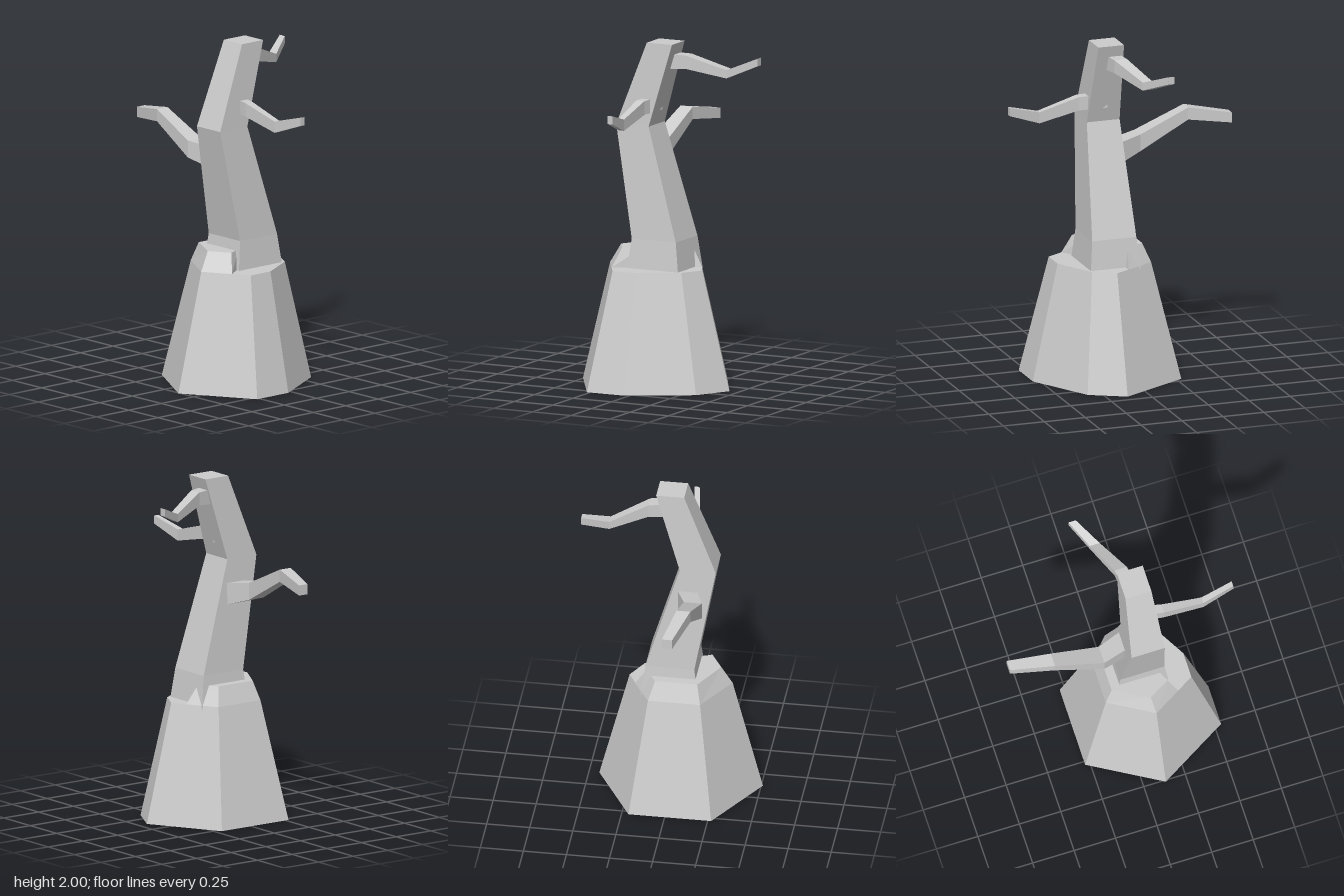
import * as THREE from 'three';

const material = new THREE.MeshStandardMaterial({ color: 0xcccccc, flatShading: true });

// Closed solid through rings of points; each ring turns anticlockwise seen from the far end.
function loft(name, rings) {
  const pos = [];
  const tri = (a, b, c) => pos.push(...a, ...b, ...c);
  const n = rings[0].length;
  for (let r = 0; r < rings.length - 1; r++) {
    const a = rings[r], b = rings[r + 1];
    for (let i = 0; i < n; i++) {
      const j = (i + 1) % n;
      tri(a[i], a[j], b[j]);
      tri(a[i], b[j], b[i]);
    }
  }
  const first = rings[0], last = rings[rings.length - 1];
  for (let i = 1; i < n - 1; i++) {
    tri(first[0], first[i + 1], first[i]);
    tri(last[0], last[i], last[i + 1]);
  }
  const geometry = new THREE.BufferGeometry();
  geometry.setAttribute('position', new THREE.Float32BufferAttribute(pos, 3));
  geometry.computeVertexNormals();
  const mesh = new THREE.Mesh(geometry, material);
  mesh.name = name;
  return mesh;
}

const level = (points, y) => points.map(([x, z]) => [x, y, z]);

// Four-sided branch; sections are [x, y, z, half width, half height], side is the width axis.
function branch(name, side, sections) {
  const corners = [[-1, -1], [1, -1], [1, 1], [-1, 1]];
  return loft(name, sections.map(([x, y, z, w, h]) =>
    corners.map(([u, v]) => [x + side[0] * u * w, y + v * h, z + side[1] * u * w])));
}

export function createModel() {
  const tree = new THREE.Group();
  tree.name = 'deadTree';

  // Tapered base: a hexagon with one corner cut off
  const foot = [[0.13, 0.51], [0.54, 0.27], [0.54, 0.03], [0.335, -0.33],
    [0.13, -0.44], [-0.28, -0.21], [-0.28, 0.27]];
  const shoulder = foot.map(([x, z]) => [0.13 + (x - 0.13) * 0.63, 0.035 + (z - 0.035) * 0.63]);
  tree.add(loft('base', [level(foot, 0), level(shoulder, 0.69)]));

  // Raised part of the base, broken away at the back left
  const capLow = [shoulder[6], shoulder[0], [0.29, 0.24], [0.2, 0.1], [0.05, -0.1], [0.045, -0.22], shoulder[5]];
  const capHigh = [[-0.085, 0.16], [0.115, 0.27], [0.24, 0.2], [0.19, 0.1], [0.02, -0.08], [0.025, -0.15], [-0.085, -0.085]];
  tree.add(loft('baseRim', [level(capLow, 0.69), level(capHigh, 0.8)]));

  // Bent square trunk: [y, x min, x max, z back, z front]
  const trunk = [
    [0.67, -0.045, 0.26, -0.175, 0.16],
    [0.86, -0.027, 0.242, -0.15, 0.135],
    [1.515, 0.005, 0.205, 0.045, 0.255],
    [2.0, 0.028, 0.184, -0.095, 0.068],
  ];
  tree.add(loft('trunk', trunk.map(([y, x0, x1, z0, z1]) =>
    level([[x0, z1], [x1, z1], [x1, z0], [x0, z0]], y))));

  // Three crooked branches
  tree.add(branch('rightBranch', [0, 1], [
    [0.06, 1.3, 0.07, 0.06, 0.068],
    [-0.14, 1.345, 0.143, 0.052, 0.05],
    [-0.43, 1.49, 0.132, 0.04, 0.036],
    [-0.68, 1.455, 0.073, 0.03, 0.03],
  ]));
  tree.add(branch('leftBranch', [0, -1], [
    [0.09, 1.64, 0.05, 0.035, 0.04],
    [0.25, 1.63, 0.075, 0.026, 0.04],
    [0.49, 1.568, 0.073, 0.018, 0.033],
    [0.68, 1.628, 0.046, 0.015, 0.024],
  ]));
  tree.add(branch('backBranch', [-1, 0], [
    [0.09, 1.89, 0.0, 0.04, 0.045],
    [0.065, 1.89, -0.14, 0.038, 0.039],
    [-0.022, 1.822, -0.355, 0.03, 0.024],
    [-0.11, 1.888, -0.507, 0.022, 0.022],
  ]));
  return tree;
}
